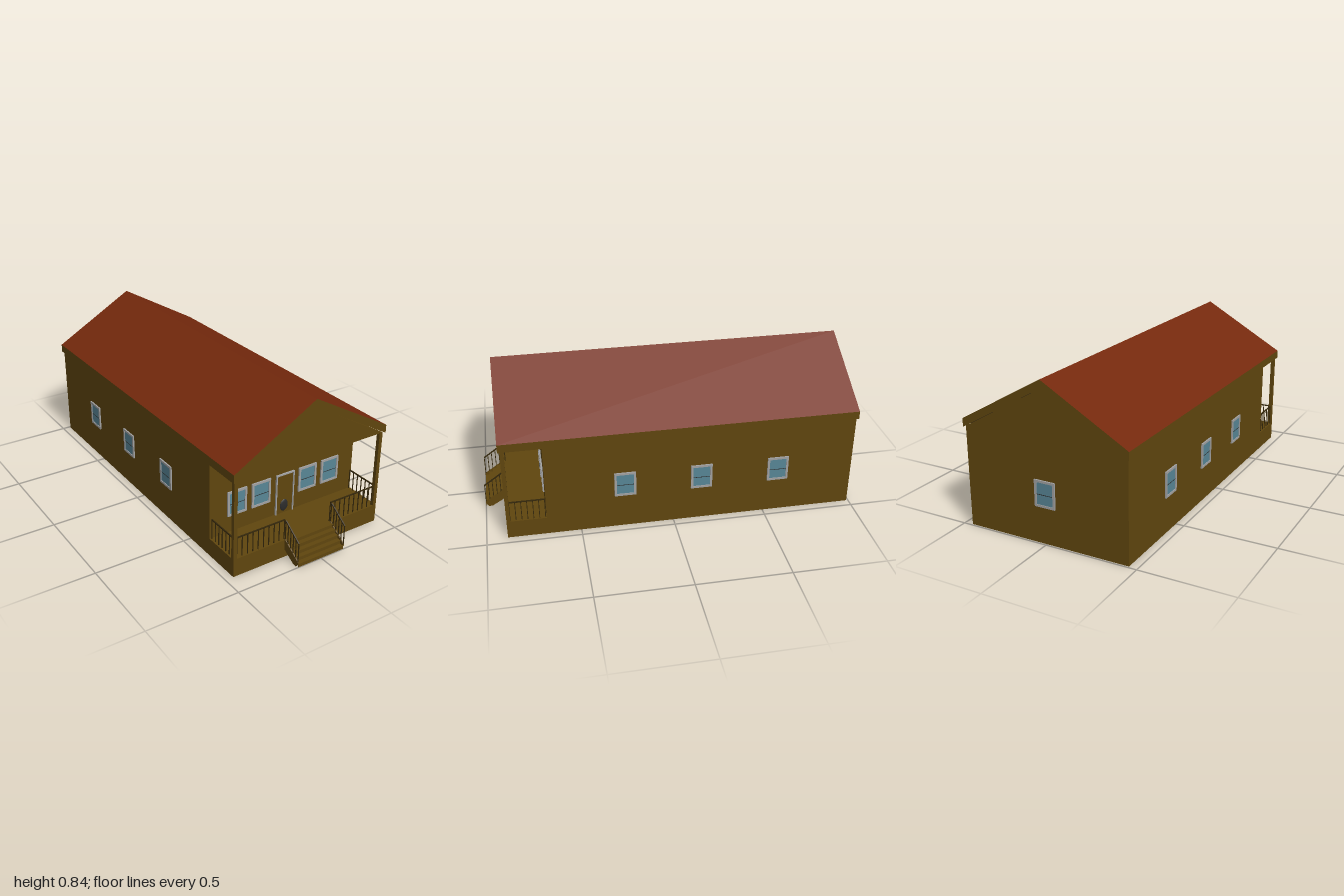
import * as THREE from 'three';

const flat = (name, color, side = THREE.FrontSide) => {
  const m = new THREE.MeshStandardMaterial({ color, side });
  m.name = name;
  return m;
};

export function createModel() {
  const D = THREE.DoubleSide;
  const wall = flat('brown siding', 0x60460e, D);
  const red = flat('red roofing', 0x75290d, D);
  const trim = flat('grey trim', 0xa2a2a2);
  const glass = flat('blue glass', 0x588696);
  const dark = flat('dark grey lining', 0x2b2b2b, D);
  const railing = flat('dark brown railing', 0x35280b);

  const house = new THREE.Group();
  house.name = 'house';

  const add = (name, geo, mat, x = 0, y = 0, z = 0, parent = house) => {
    const m = new THREE.Mesh(geo, mat);
    m.name = name;
    m.position.set(x, y, z);
    parent.add(m);
    return m;
  };
  const box = (name, mat, w, h, d, x, y, z, parent) =>
    add(name, new THREE.BoxGeometry(w, h, d), mat, x, y, z, parent);
  const shape = (pts) => new THREE.Shape(pts.map(([x, y]) => new THREE.Vector2(x, y)));
  const poly = (name, pts, mat, z) => add(name, new THREE.ShapeGeometry(shape(pts)), mat, 0, 0, z);

  // Sheet swept along z from one straight line in the xy plane
  const sheet = (name, [x0, y0], [x1, y1], z0, z1, mat) => {
    const g = new THREE.BufferGeometry();
    g.setAttribute('position', new THREE.Float32BufferAttribute(
      [x0, y0, z1, x1, y1, z1, x1, y1, z0, x0, y0, z0], 3));
    g.setIndex([0, 1, 2, 0, 2, 3]);
    g.computeVertexNormals();
    return add(name, g, mat);
  };

  // Square bar between two points
  const bar = (name, a, b, t, mat = railing) => {
    const p = new THREE.Vector3(...a), q = new THREE.Vector3(...b);
    const m = box(name, mat, t, t, p.distanceTo(q), 0, 0, 0);
    m.position.copy(p).add(q).multiplyScalar(0.5);
    m.lookAt(q);
    return m;
  };

  // Walls
  const W = 0.455, BACK = -0.99, HALL = 0.68, FRONT = 0.89, EAVE = 0.535, PEAK = 0.795, DECK = 0.1;
  for (const s of [-1, 1]) {
    const side = poly('sideWall', [[BACK, 0], [FRONT, 0], [FRONT, DECK], [HALL, DECK],
      [HALL, EAVE], [BACK, EAVE]], wall, 0);
    side.rotation.y = -Math.PI / 2;
    side.position.x = s * W;
  }
  poly('backWall', [[-W, 0], [W, 0], [W, EAVE], [0, PEAK], [-W, EAVE]], wall, BACK);
  poly('frontWall', [[-W, DECK], [W, DECK], [W, EAVE], [0, PEAK], [-W, EAVE]], wall, HALL);

  // Porch deck, skirt, gable and posts
  poly('porchSkirt', [[-W, 0], [W, 0], [W, DECK], [-W, DECK]], wall, FRONT);
  box('porchDeck', wall, 2 * W, 0.004, FRONT - HALL, 0, DECK - 0.002, (FRONT + HALL) / 2);
  add('porchGable', new THREE.ExtrudeGeometry(shape([[-W, 0.53], [W, 0.53], [0, PEAK]]),
    { depth: 0.02, bevelEnabled: false }), wall, 0, 0, FRONT - 0.02);
  for (const s of [-1, 1])
    box('porchPost', wall, 0.02, 0.43, 0.02, s * (W - 0.01), 0.315, FRONT - 0.01);

  // Roof: red slopes, brown edges, dark underside
  const R = 0.465, Z0 = -1, Z1 = 0.9;
  for (const s of [-1, 1]) {
    sheet('roofSlope', [s * R, 0.575], [0, 0.84], Z0, Z1, red);
    sheet('roofUnderside', [s * R, 0.53], [0, PEAK], Z0, Z1, dark);
    sheet('eaveFascia', [s * R, 0.53], [s * R, 0.575], Z0, Z1, wall);
  }
  for (const z of [Z0, Z1])
    poly('gableFascia', [[-R, 0.53], [0, PEAK], [R, 0.53], [R, 0.575], [0, 0.84], [-R, 0.575]], wall, z);

  // Rectangular border as an extruded frame with a hole
  const frameGeo = (w, h, t, d) => {
    const s = shape([[-w / 2, -h / 2], [w / 2, -h / 2], [w / 2, h / 2], [-w / 2, h / 2]]);
    const a = w / 2 - t, b = h / 2 - t;
    s.holes.push(shape([[-a, -b], [-a, b], [a, b], [a, -b]]));
    return new THREE.ExtrudeGeometry(s, { depth: d, bevelEnabled: false });
  };

  // Double-sash windows, also seen from indoors
  const addWindow = (x, z, turn) => {
    const g = new THREE.Group();
    g.name = 'window';
    const w = 0.115, h = 0.14;
    add('windowFrame', frameGeo(w, h, 0.012, 0.008), trim, 0, 0, 0, g);
    box('windowGlass', glass, w - 0.02, h - 0.02, 0.008, 0, 0, 0, g);
    box('sashBar', dark, w - 0.024, 0.003, 0.01, 0, -0.005, 0, g);
    add('innerFrame', frameGeo(w, h, 0.012, 0.007), dark, 0, 0, -0.008, g);
    g.position.set(x, 0.265, z);
    g.rotation.y = turn;
    house.add(g);
  };
  for (const s of [-1, 1]) {
    for (const x of [0.148, 0.295]) addWindow(s * x, HALL, 0);
    for (const z of [0.26, -0.15, -0.57]) addWindow(s * W, z, s * Math.PI / 2);
  }
  addWindow(0, BACK, Math.PI);

  // Door with its frame and a small dark mound at the threshold
  box('door', wall, 0.104, 0.23, 0.004, 0.002, 0.215, HALL + 0.002);
  for (const s of [-1, 1]) box('doorJamb', trim, 0.007, 0.235, 0.009, 0.002 + s * 0.054, 0.2175, HALL + 0.0045);
  box('doorHead', trim, 0.115, 0.008, 0.009, 0.002, 0.331, HALL + 0.0045);
  add('doorOrnament', new THREE.SphereGeometry(1, 16, 10), dark, 0, 0.145, HALL + 0.003)
    .scale.set(0.026, 0.035, 0.008);

  // Railings with evenly spaced balusters; drop is how far they reach below the rail
  const fence = (a, b, n, drop) => {
    bar('handrail', a, b, 0.006);
    for (let i = 0; i <= n; i++) {
      const [x, y, z] = a.map((v, k) => v + (b[k] - v) * i / n);
      box('baluster', railing, 0.004, drop, 0.004, x, y - drop / 2, z);
    }
  };
  const TOP = 0.213;
  for (const s of [-1, 1]) {
    fence([s * 0.43, TOP, 0.88], [s * 0.145, TOP, 0.88], 9, TOP - DECK);
    fence([s * 0.445, TOP, 0.685], [s * 0.445, TOP, 0.87], 6, TOP - DECK);
    fence([s * 0.145, TOP, FRONT], [s * 0.145, 0.137, 0.997], 5, 0.112);
  }

  // Stairs: thin treads and risers between two stringers
  for (let i = 0; i < 5; i++) {
    const y = DECK - 0.02 * i, z = FRONT + 0.022 * i;
    box('tread', wall, 0.286, 0.004, 0.023, 0, y - 0.002, z + 0.01);
    box('riser', wall, 0.286, 0.02, 0.003, 0, y - 0.01, z + 0.019);
  }
  const stringer = new THREE.ExtrudeGeometry(
    shape([[0.89, 0.045], [0.965, 0], [0.985, 0], [1, 0.02], [1, 0.03], [0.89, 0.105]]),
    { depth: 0.006, bevelEnabled: false });
  for (const s of [-1, 1])
    add('stringer', stringer, wall, s * 0.145 + 0.003, 0, 0).rotation.y = -Math.PI / 2;

  return house;
}
